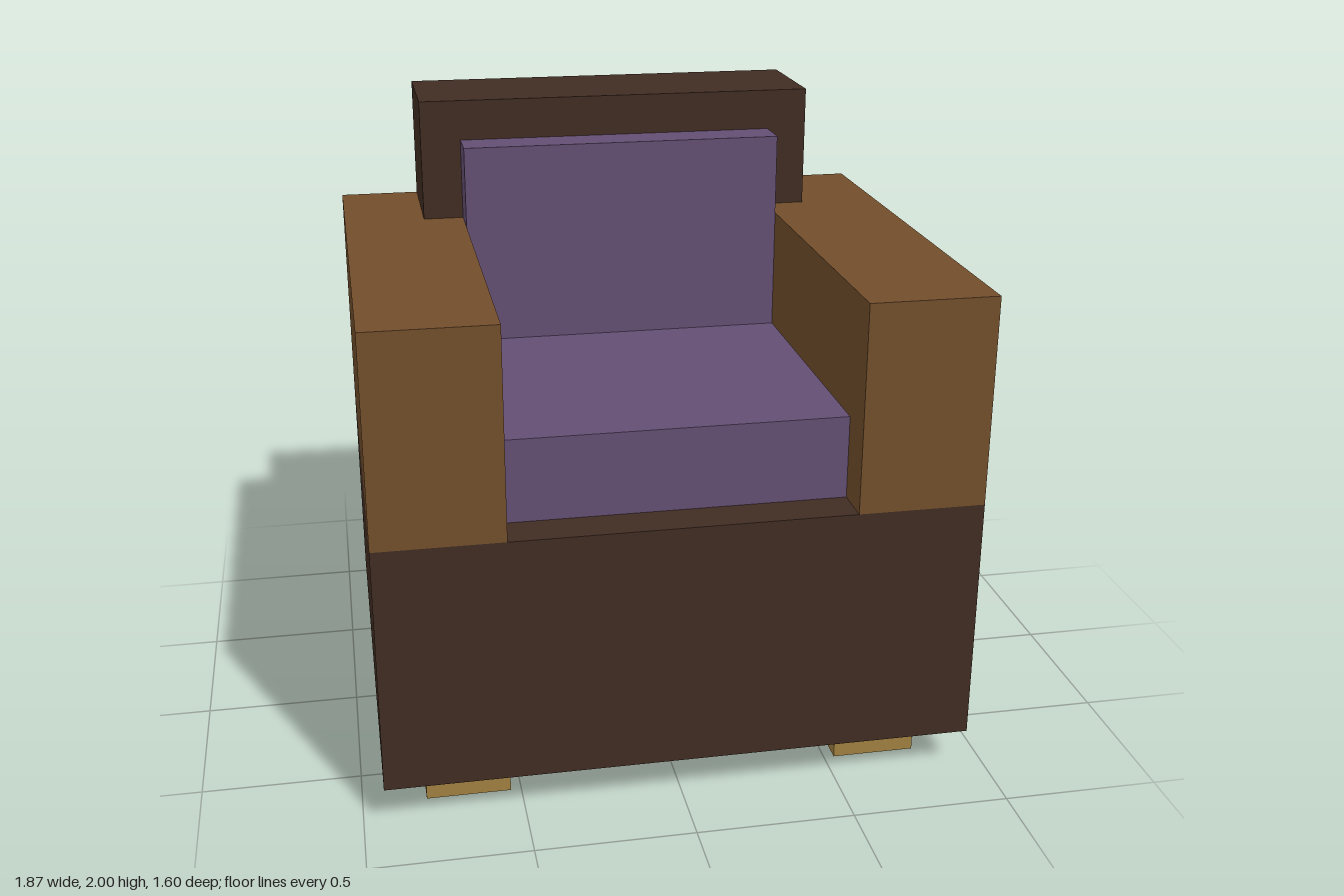
import * as THREE from 'three';

// All dimensions sit on a grid of fifteen steps over the full height.
const U = 2 / 15;

function material(name, color) {
  const m = new THREE.MeshStandardMaterial({ color });
  m.name = name;
  return m;
}

export function createModel() {
  const darkBrown = material('dark brown', 0x402c22);
  const brown = material('brown', 0x714d2b);
  const purple = material('purple', 0x634e72);
  const tan = material('tan wood', 0x9f7f40);

  const chair = new THREE.Group();
  chair.name = 'armchair';

  function add(name, geometry, mat) {
    const mesh = new THREE.Mesh(geometry, mat);
    mesh.name = name;
    chair.add(mesh);
    return mesh;
  }

  // Box given by its lower and upper corners in grid steps
  function box(name, mat, [x0, y0, z0], [x1, y1, z1]) {
    const mesh = add(name, new THREE.BoxGeometry((x1 - x0) * U, (y1 - y0) * U, (z1 - z0) * U), mat);
    mesh.position.set((x0 + x1) / 2, (y0 + y1) / 2, (z0 + z1) / 2).multiplyScalar(U);
  }

  // Body and cushions
  box('base', darkBrown, [-7, 1, -6], [7, 7, 6]);
  box('backrest', darkBrown, [-5, 7, -6], [5, 15, -3]);
  box('seatCushion', purple, [-4, 7, -2], [4, 9, 5]);
  box('backCushion', purple, [-4, 7, -3], [4, 14, -2]);

  for (const [side, s] of [['left', 1], ['right', -1]]) {
    // Armrest footprint, notched at the rear to fit around the backrest
    const footprint = [[4, 6], [7, 6], [7, -6], [5, -6], [5, -3], [4, -3]];
    const shape = new THREE.Shape(footprint.map(([x, z]) => new THREE.Vector2(s * x * U, -z * U)));
    const arm = new THREE.ExtrudeGeometry(shape, { depth: 5 * U, bevelEnabled: false });
    arm.rotateX(-Math.PI / 2).translate(0, 7 * U, 0);
    add(side + 'Armrest', arm, brown);

    // Feet
    const [x0, x1] = s > 0 ? [4, 6] : [-6, -4];
    box(side + 'FrontFoot', tan, [x0, 0, 3], [x1, 1, 5]);
    box(side + 'BackFoot', tan, [x0, 0, -5], [x1, 1, -3]);
  }

  return chair;
}
